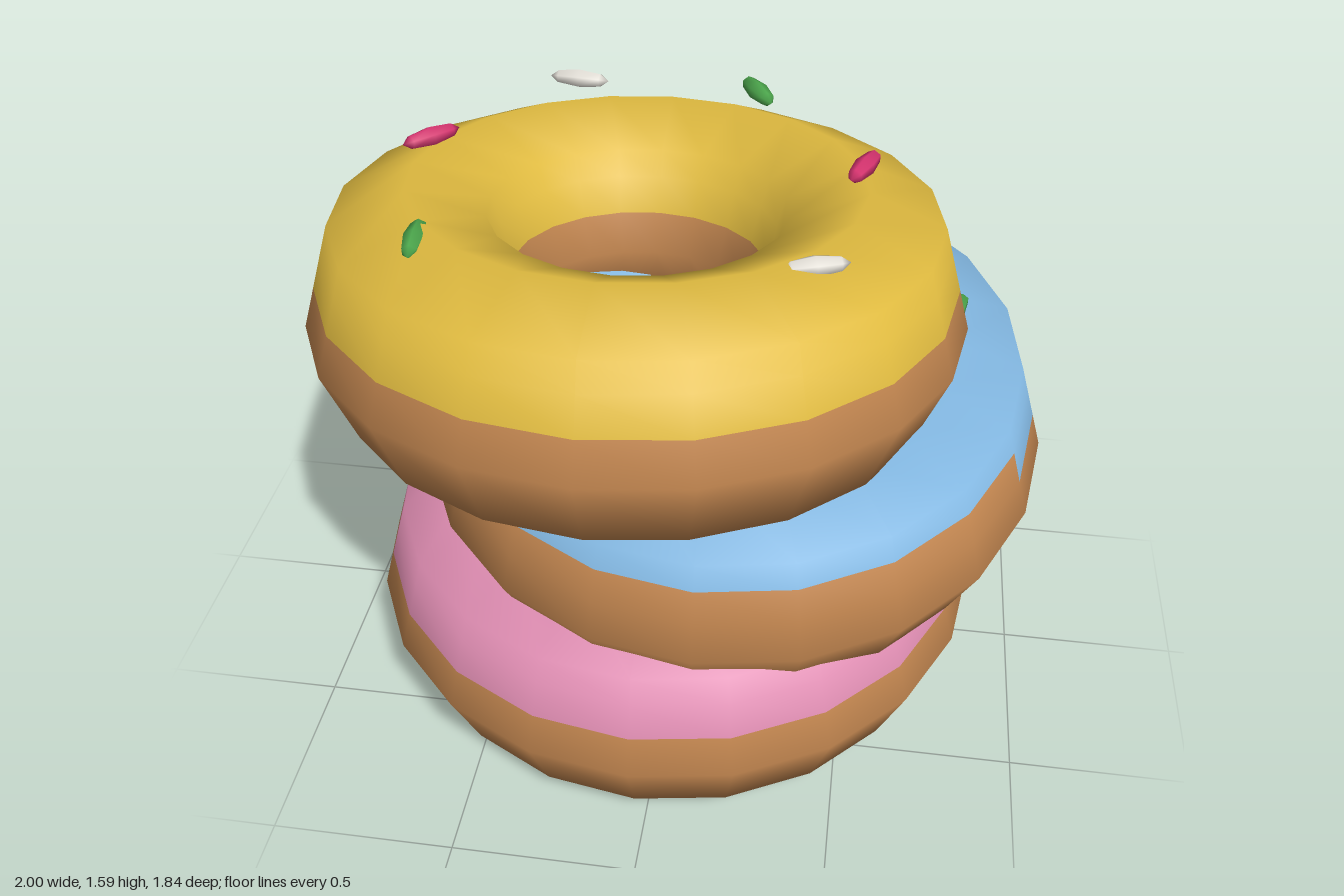
import * as THREE from 'three';

const mat = (name, color) => Object.assign(new THREE.MeshStandardMaterial({ color }), { name });
const dough = mat('dough brown', 0xc1854f);
const yellow = mat('yellow icing', 0xe0bb40);
const blue = mat('blue icing', 0x83b8e2);
const pink = mat('pink icing', 0xdf8db2);
const magenta = mat('magenta sprinkle', 0xd6336f);
const green = mat('green sprinkle', 0x4ca64c);
const white = mat('white sprinkle', 0xe6e2da);

const R = 0.592, TUBE = 0.283, RAISE = 0.08, SEGMENTS = 20;

// Tube cross-section: an octagon with a raised top, split where icing meets dough.
function crossSection() {
  const corner = (k) => {
    const a = (k * Math.PI) / 4, up = Math.sin(a) > 0.01 ? RAISE : 0;
    return {
      r: R + TUBE * Math.cos(a), y: TUBE * Math.sin(a) + up,
      nr: Math.cos(a), ny: Math.sin(a),
    };
  };
  const mix = (a, b, t) => {
    const p = {};
    for (const key in a) p[key] = a[key] + (b[key] - a[key]) * t;
    return p;
  };
  const c = Array.from({ length: 8 }, (_, k) => corner(k));
  return [c[0], mix(c[0], c[1], 0.39), mix(c[0], c[1], 0.74), c[1], c[2], c[3],
    mix(c[4], c[3], 0.74), mix(c[4], c[3], 0.39), c[4], c[5], c[6], c[7]];
}

// outerBare / innerBare: [first, last) segments where the icing edge sits higher.
function donutGeometry(outerBare, innerBare) {
  const section = crossSection(), n = section.length;
  const positions = [], normals = [], doughFaces = [], icingFaces = [];
  for (let i = 0; i < SEGMENTS; i++) {
    const phi = (i / SEGMENTS) * Math.PI * 2, c = Math.cos(phi), s = Math.sin(phi);
    for (const p of section) {
      positions.push(p.r * c, p.y, p.r * s);
      const l = Math.hypot(p.nr, p.ny);
      normals.push((p.nr * c) / l, p.ny / l, (p.nr * s) / l);
    }
  }
  const within = (i, range) => range && i >= range[0] && i < range[1];
  for (let i = 0; i < SEGMENTS; i++) {
    for (let j = 0; j < n; j++) {
      const iced = (j >= 2 && j <= 5) ||
        (j === 1 && !within(i, outerBare)) || (j === 6 && !within(i, innerBare));
      const i2 = (i + 1) % SEGMENTS, j2 = (j + 1) % n;
      const a = i * n + j, b = i * n + j2, d = i2 * n + j2, e = i2 * n + j;
      (iced ? icingFaces : doughFaces).push(a, b, d, a, d, e);
    }
  }
  const g = new THREE.BufferGeometry();
  g.setAttribute('position', new THREE.Float32BufferAttribute(positions, 3));
  g.setAttribute('normal', new THREE.Float32BufferAttribute(normals, 3));
  g.setIndex([...doughFaces, ...icingFaces]);
  g.addGroup(0, doughFaces.length, 0);
  g.addGroup(doughFaces.length, icingFaces.length, 1);
  return g;
}

export function createModel() {
  const group = new THREE.Group();
  group.name = 'donutStack';

  // Three stacked donuts
  const addDonut = (name, icing, position, tilt, outerBare, innerBare) => {
    const mesh = new THREE.Mesh(donutGeometry(outerBare, innerBare), [dough, icing]);
    mesh.name = name;
    mesh.position.set(...position);
    mesh.rotation.x = tilt;
    group.add(mesh);
  };
  addDonut('bottomDonut', pink, [-0.027, 0.284, 0.042], 0);
  addDonut('middleDonut', blue, [0.125, 0.735, -0.05], 0.12, [1, 9], [11, 19]);
  addDonut('topDonut', yellow, [-0.125, 1.17, 0.045], -0.1, [12, 18], [2, 8]);

  // Sprinkles: long low-poly beads lying flat, turned by a heading (dx, dz)
  const bead = new THREE.SphereGeometry(1, 6, 4);
  bead.rotateZ(Math.PI / 2);
  bead.scale(0.085, 0.027, 0.029);
  const sprinkles = [
    [magenta, -0.7, 1.55, -0.1, 25, -25],
    [magenta, 0.445, 1.55, -0.095, 12, -31],
    [green, 0.13, 1.55, -0.49, 18, 29],
    [green, -0.595, 1.55, 0.41, 3, 32],
    [white, -0.38, 1.55, -0.5, 32, 3],
    [white, 0.355, 1.555, 0.405, 26, -9],
    [green, 0.725, 1.105, -0.135, 7, -22],
  ];
  sprinkles.forEach(([material, x, y, z, dx, dz], i) => {
    const mesh = new THREE.Mesh(bead, material);
    mesh.name = `sprinkle${i + 1}`;
    mesh.position.set(x, y, z);
    mesh.rotation.y = -Math.atan2(dz, dx);
    group.add(mesh);
  });
  return group;
}
